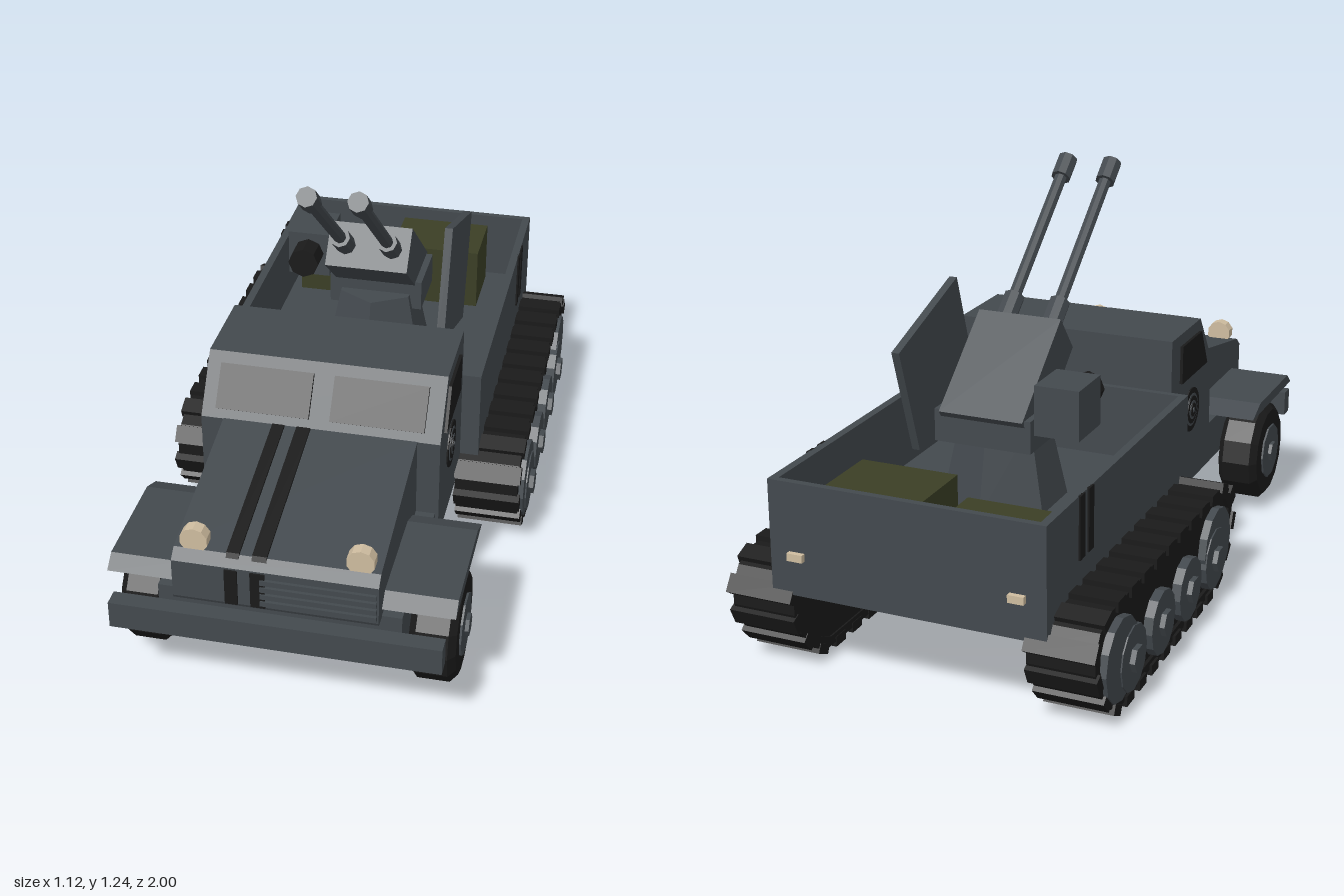
import * as THREE from 'three';

const material = (name, color) => {
  const m = new THREE.MeshStandardMaterial({ color });
  m.name = name;
  return m;
};

export function createModel() {
  const steel = material('steelGrey', 0x43494e);
  const black = material('black', 0x1a1a1a);
  const olive = material('olive', 0x3b3f25);
  const cream = material('cream', 0xcfbda0);
  const model = new THREE.Group();
  model.name = 'halfTrack';

  // Adds a faceted mesh
  const add = (name, geometry, mat, parent = model) => {
    const g = geometry.index ? geometry.toNonIndexed() : geometry;
    g.computeVertexNormals();
    const mesh = new THREE.Mesh(g, mat);
    mesh.name = name;
    parent.add(mesh);
    return mesh;
  };
  // Box given by its limits on each axis
  const box = (name, [x0, x1], [y0, y1], [z0, z1], mat, parent) =>
    add(name, new THREE.BoxGeometry(x1 - x0, y1 - y0, z1 - z0)
      .translate((x0 + x1) / 2, (y0 + y1) / 2, (z0 + z1) / 2), mat, parent);
  // Side profile of [z, y] points extruded from x0 to x1
  const profile = (name, points, x0, x1, mat, hole) => {
    const shape = new THREE.Shape(points.map(p => new THREE.Vector2(...p)));
    if (hole) shape.holes.push(new THREE.Path(hole.map(p => new THREE.Vector2(...p))));
    const g = new THREE.ExtrudeGeometry(shape, { depth: x1 - x0, bevelEnabled: false });
    return add(name, g.rotateY(-Math.PI / 2).translate(x1, 0, 0), mat);
  };
  // Cylinder along x from x0 to x1 (limits may run either way)
  const axle = (name, r, x0, x1, y, z, sides, mat) =>
    add(name, new THREE.CylinderGeometry(r, r, Math.abs(x1 - x0), sides)
      .rotateZ(Math.PI / 2).translate((x0 + x1) / 2, y, z), mat);
  // Side profile between a pair of x values on side s
  const sideProfile = (name, points, s, a, b, mat, hole) =>
    profile(name, points, Math.min(s * a, s * b), Math.max(s * a, s * b), mat, hole);

  // Chassis, bonnet and cab
  profile('chassis', [[0.08, 0.21], [0.93, 0.21], [0.93, 0.345], [0.08, 0.345]], -0.335, 0.335, steel);
  profile('bonnet', [[0.4, 0.34], [0.965, 0.34], [0.97, 0.35], [0.97, 0.465], [0.94, 0.49], [0.45, 0.582], [0.4, 0.582]], -0.28, 0.28, steel);
  profile('cab', [[0.085, 0.3], [0.455, 0.3], [0.455, 0.58], [0.345, 0.737], [0.085, 0.737]], -0.345, 0.345, steel);
  box('bumper', [-0.455, 0.455], [0.235, 0.315], [0.95, 1], steel);

  // Windscreen panes stand just off the sloping cab front
  for (const s of [-1, 1]) {
    const pane = add('windscreen', new THREE.BoxGeometry(0.27, 0.13, 0.01), black);
    pane.position.set(s * 0.165, 0.668, 0.421);
    pane.rotation.x = -Math.atan2(0.11, 0.155);
  }

  // Stripes on the bonnet top and on the nose, radiator slats
  const stripe = [[0.46, 0.575], [0.94, 0.483], [0.95, 0.482], [0.943, 0.496], [0.46, 0.587]];
  for (const [a, b] of [[-0.135, -0.1], [-0.065, -0.025]]) {
    profile('bonnetStripe', stripe, a, b, black);
    box('noseStripe', [a, b], [0.35, 0.46], [0.967, 0.975], black);
  }
  for (let i = 0; i < 4; i++)
    box('radiatorSlat', [-0.038, 0.275], [0.36 + i * 0.023, 0.375 + i * 0.023], [0.965, 0.979], steel);

  // Cargo bed: underbody, walls and stowed bundles
  profile('bedUnderbody', [[-0.98, 0.255], [0.08, 0.21], [0.08, 0.36], [-0.98, 0.36]], -0.4, 0.4, steel);
  box('tailboard', [-0.4, 0.4], [0.36, 0.58], [-0.98, -0.96], steel);
  box('bedFront', [-0.4, 0.4], [0.36, 0.58], [0.06, 0.08], steel);
  box('stowedBundle', [-0.344, -0.056], [0.36, 0.5], [-0.925, -0.715], olive);
  box('stowedBundle', [-0.026, 0.262], [0.36, 0.56], [-0.925, -0.715], olive);

  // Track outline, mirrored end to end
  const mid = -0.421;
  const frontHalf = [[-0.03, 0.015], [0.03, 0.045], [0.1, 0.12], [0.133, 0.19], [0.133, 0.245], [0.1, 0.295], [0.03, 0.322]];
  const loop = [...frontHalf, ...frontHalf.map(([z, y]) => [2 * mid - z, y]).reverse()];
  const inner = loop.map(([z, y]) => [mid + (z - mid) * 0.94, 0.169 + (y - 0.169) * 0.82]);
  const path = new THREE.CurvePath();
  loop.forEach((p, i) => path.add(new THREE.LineCurve(
    new THREE.Vector2(...p), new THREE.Vector2(...loop[(i + 1) % loop.length]))));
  const lugCount = 27;

  for (const s of [-1, 1]) {
    box('bedWall', [s * 0.388 - 0.012, s * 0.388 + 0.012], [0.36, 0.58], [-0.96, 0.06], steel);
    for (const z of [-0.695, -0.755])
      box('bedStripe', [s * 0.401 - 0.004, s * 0.401 + 0.004], [0.4, 0.58], [z - 0.017, z + 0.017], black);

    // Side window and door rings
    sideProfile('sideWindow', [[0.395, 0.582], [0.335, 0.7], [0.16, 0.7], [0.16, 0.582]], s, 0.345, 0.354, black);
    [[0.07, black], [0.052, steel], [0.044, black], [0.03, steel], [0.022, black], [0.009, steel]].forEach(([r, mat], i) =>
      axle('doorRing', r, s * 0.343, s * (0.349 + i * 0.0015), 0.465, 0.27, 20, mat));

    // Lamps
    add('headlamp', new THREE.CylinderGeometry(0.039, 0.039, 0.036, 10).rotateX(Math.PI / 2)
      .translate(s * 0.225, 0.515, 0.923), cream);
    box('tailLamp', [s * 0.32 - 0.023, s * 0.32 + 0.023], [0.36, 0.382], [-0.995, -0.975], cream);

    // Front mudguard and wheel
    sideProfile('mudguard', [[0.93, 0.367], [0.89, 0.4], [0.58, 0.4], [0.505, 0.367]], s, 0.275, 0.477, steel);
    const tyre = [[0.001, -0.065], [0.14, -0.065], [0.162, -0.045], [0.162, 0.045], [0.14, 0.065], [0.001, 0.065]];
    add('frontTyre', new THREE.LatheGeometry(tyre.map(p => new THREE.Vector2(...p)), 14)
      .rotateZ(Math.PI / 2).translate(s * 0.405, 0.187, 0.725), black);
    axle('frontWheelDisc', 0.09, s * 0.43, s * 0.476, 0.187, 0.725, 10, steel);
    axle('frontHub', 0.032, s * 0.46, s * 0.487, 0.187, 0.725, 6, steel);

    // Track band, core and lugs
    sideProfile('trackBand', loop, s, 0.34, 0.53, black, inner);
    sideProfile('trackCore', inner, s, 0.345, 0.52, black);
    for (let i = 0; i < lugCount; i++) {
      const u = (i + 0.5) / lugCount;
      const p = path.getPointAt(u), t = path.getTangentAt(u);
      const lug = add('trackLug', new THREE.BoxGeometry(0.2, 0.03, 0.053), black);
      lug.position.set(s * 0.438, p.y, p.x);
      lug.rotation.x = -Math.atan2(t.y, t.x);
    }
    // End rollers, road wheels and hubs
    for (const z of [-0.035, -0.815])
      axle('endRoller', 0.118, s * 0.45, s * 0.543, 0.165, z, 12, steel);
    for (const z of [-0.06, -0.287, -0.513, -0.74]) {
      axle('roadWheel', 0.094, s * 0.45, s * 0.547, 0.135, z, 12, steel);
      axle('roadHub', 0.038, s * 0.5, s * 0.562, 0.135, z, 6, steel);
    }
  }

  // Gun mount: hexagonal pedestal, cradle, sight box and side shield
  add('pedestal', new THREE.CylinderGeometry(0.125, 0.18, 0.25, 6).translate(0, 0.485, -0.355), steel);
  box('cradle', [-0.146, 0.146], [0.56, 0.655], [-0.505, -0.31], steel);
  box('sightBox', [-0.292, -0.16], [0.62, 0.765], [-0.51, -0.355], steel);
  add('sightTube', new THREE.CylinderGeometry(0.048, 0.048, 0.09, 8).rotateX(Math.PI / 2)
    .translate(-0.227, 0.697, -0.325), black);
  box('sightArm', [-0.17, -0.08], [0.63, 0.69], [-0.44, -0.38], steel);
  const shield = add('shield', new THREE.BoxGeometry(0.024, 0.343, 0.39), steel);
  shield.position.set(0.252, 0.71, -0.29);
  shield.rotation.x = -Math.atan2(0.125, 0.37);

  // Elevated gun group, local +z along the barrels
  const gun = new THREE.Group();
  gun.name = 'twinGun';
  gun.position.set(0, 0.71, -0.34);
  gun.rotation.x = -0.686;
  model.add(gun);
  box('gunHousing', [-0.128, 0.126], [-0.07, 0.07], [-0.175, 0.175], steel, gun);
  const tube = (name, r, z0, z1, x) => add(name, new THREE.CylinderGeometry(r, r, z1 - z0, 8)
    .rotateX(Math.PI / 2).translate(x, 0, (z0 + z1) / 2), steel, gun);
  for (const x of [-0.072, 0.072]) {
    tube('barrelSleeve', 0.031, 0.16, 0.28, x);
    tube('barrel', 0.019, 0.27, 0.75, x);
    tube('muzzle', 0.03, 0.725, 0.8, x);
  }
  return model;
}
